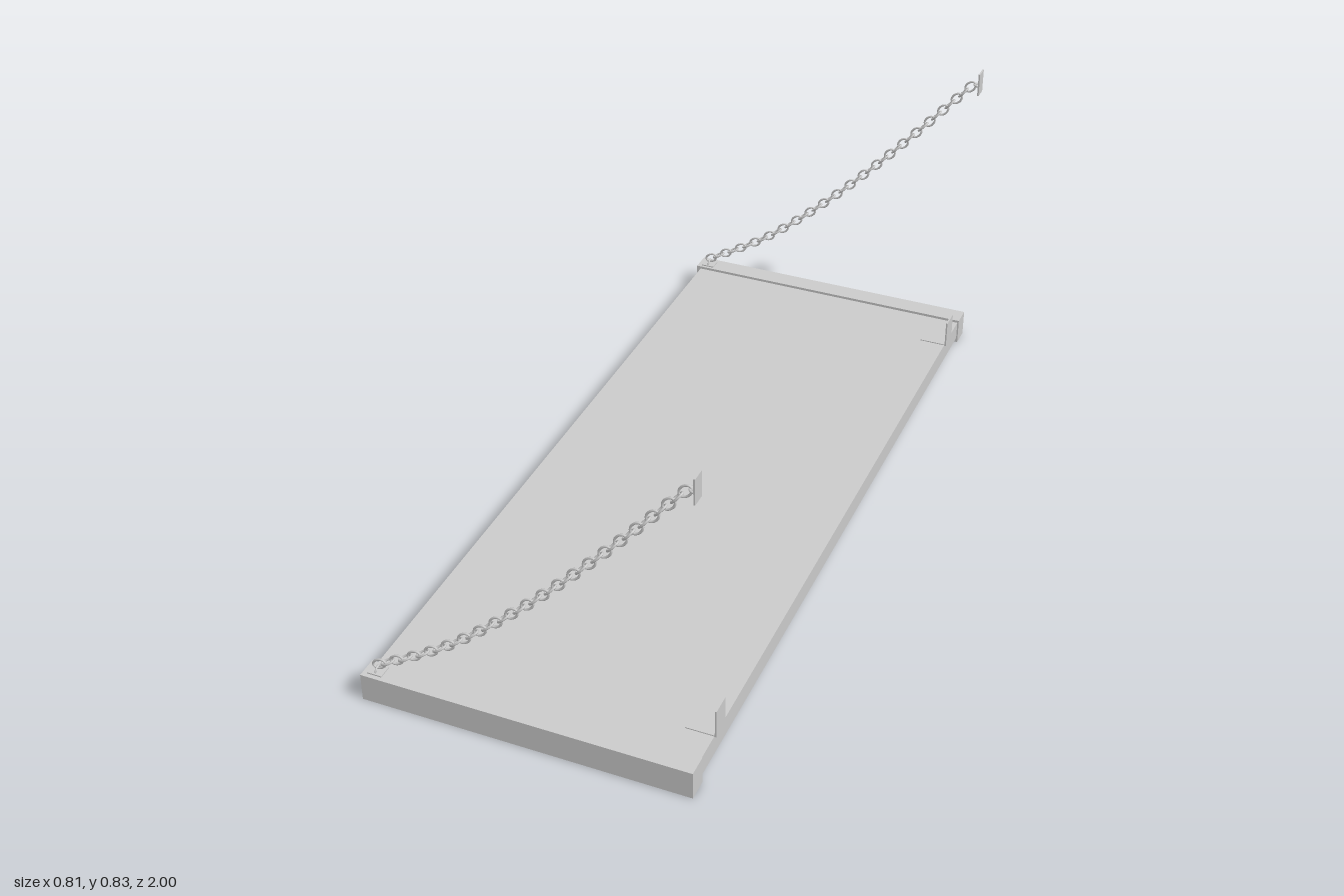
import * as THREE from 'three';

const material = new THREE.MeshStandardMaterial({ color: 0xcccccc });

function addMesh(parent, name, geometry, x = 0, y = 0, z = 0) {
  const mesh = new THREE.Mesh(geometry, material);
  mesh.name = name;
  mesh.position.set(x, y, z);
  parent.add(mesh);
  return mesh;
}

// Box given by its lower and upper corners
function addBox(parent, name, [x0, y0, z0], [x1, y1, z1]) {
  const geometry = new THREE.BoxGeometry(x1 - x0, y1 - y0, z1 - z0);
  return addMesh(parent, name, geometry, (x0 + x1) / 2, (y0 + y1) / 2, (z0 + z1) / 2);
}

// Oval wire ring in the xy plane, long along x
function linkGeometry(a, b, wire) {
  const points = [];
  for (let i = 0; i < 16; i++) {
    const t = (i / 16) * Math.PI * 2;
    points.push(new THREE.Vector3(a * Math.cos(t), b * Math.sin(t), 0));
  }
  return new THREE.TubeGeometry(new THREE.CatmullRomCurve3(points, true), 24, wire, 8, true);
}

// Slightly sagging line of the chain
const chainCurve = new THREE.CatmullRomCurve3([
  [-0.368, 0.093], [-0.273, 0.149], [-0.186, 0.208], [-0.103, 0.277],
  [0.014, 0.386], [0.127, 0.503], [0.235, 0.623], [0.375, 0.785],
].map(([x, y]) => new THREE.Vector3(x, y, 0)));

function createChain(z) {
  const chain = new THREE.Group();
  chain.name = 'chain';
  chain.position.z = z;
  const geometry = linkGeometry(0.0172, 0.0112, 0.0028);
  const count = 39;
  for (let i = 0; i < count; i++) {
    const u = i / (count - 1);
    const tangent = chainCurve.getTangentAt(u);
    const link = addMesh(chain, 'chainLink', geometry);
    link.position.copy(chainCurve.getPointAt(u));
    link.rotation.order = 'ZYX';
    link.rotation.z = Math.atan2(tangent.y, tangent.x);
    link.rotation.x = i % 2 ? Math.PI / 2 : 0; // every other link is turned edge-on
  }

  // Wall plate with its eye
  addBox(chain, 'wallPlate', [0.399, 0.77, -0.0175], [0.403, 0.832, 0.0175]);
  const eye = new THREE.TorusGeometry(0.011, 0.0025, 8, 14, Math.PI);
  const wallEye = addMesh(chain, 'wallEye', eye, 0.4, 0.794, 0);
  wallEye.rotation.set(Math.PI / 2, 0, Math.PI / 2);
  wallEye.scale.y = 1.3;

  // Small plate and eye on the board end
  addBox(chain, 'boardPlate', [-0.391, 0.069, -0.0175], [-0.355, 0.074, 0.0175]);
  const boardEye = addMesh(chain, 'boardEye', eye, -0.373, 0.073, 0);
  boardEye.rotation.y = Math.PI / 2;
  return chain;
}

export function createModel() {
  const model = new THREE.Group();
  model.name = 'hangingShelf';

  addBox(model, 'board', [-0.392, 0.013, -0.97], [0.397, 0.064, 0.97]);

  for (const side of [-1, 1]) {
    // Thicker batten across each end
    const batten = addBox(model, 'endBatten', [-0.403, 0, -0.0265], [0.401, 0.071, 0.0265]);
    batten.position.z = side * 0.9735;

    // L-shaped bracket on the wall edge
    const bracket = new THREE.Group();
    bracket.name = 'wallBracket';
    bracket.position.z = side * 0.845;
    addBox(bracket, 'uprightLeaf', [0.398, 0.063, -0.026], [0.402, 0.136, 0.026]);
    addBox(bracket, 'flatLeaf', [0.328, 0.063, -0.026], [0.4, 0.0665, 0.026]);
    model.add(bracket);

    model.add(createChain(side * 0.972));
  }
  return model;
}
